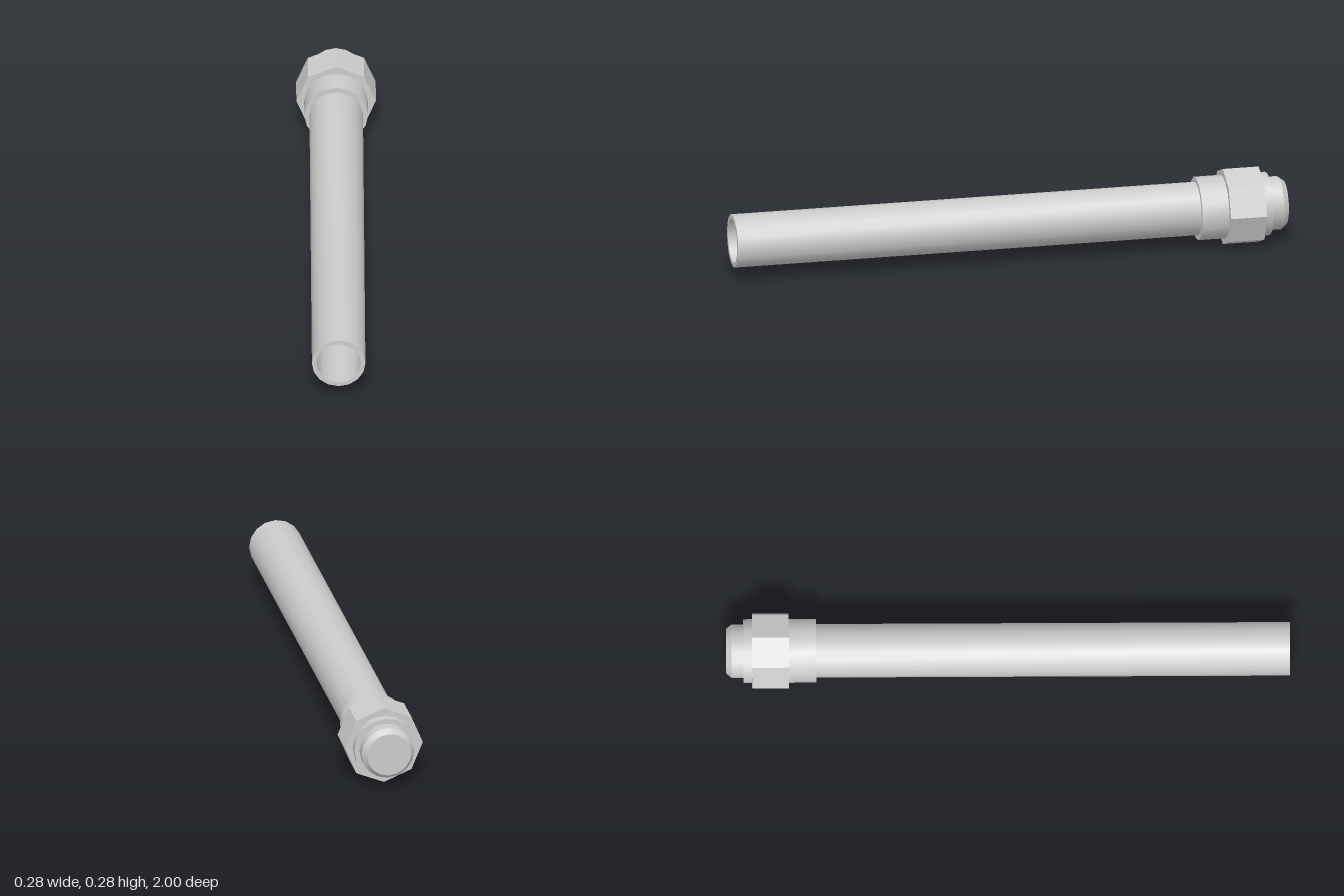
import * as THREE from 'three';
import { toCreasedNormals } from 'three/addons/utils/BufferGeometryUtils.js';

const AXIS_HEIGHT = 0.141;

// Turns a profile of [radius, z] points about the z axis.
function turned(name, profile, sides, material) {
  const points = profile.map(([r, z]) => new THREE.Vector2(r, z));
  const geometry = new THREE.LatheGeometry(points, sides).rotateX(Math.PI / 2);
  const mesh = new THREE.Mesh(toCreasedNormals(geometry, 0.5), material);
  mesh.name = name;
  mesh.position.y = AXIS_HEIGHT;
  return mesh;
}

// Profile of a plain ring whose bore sits just inside the tube wall.
const ring = (radius, back, front) => [
  [0.088, back], [radius, back], [radius, front], [0.088, front],
];

export function createModel() {
  const group = new THREE.Group();
  group.name = 'pipeFitting';
  const material = new THREE.MeshStandardMaterial({ color: 0xcccccc });

  // Hollow tube: open at the front, closed and chamfered at the back
  const tubeProfile = [
    [0, -1], [0.079, -1], [0.095, -0.98], [0.095, 1],
    [0.079, 1], [0.079, -0.97], [0, -0.97],
  ];
  group.add(turned('tube', tubeProfile, 16, material));

  // Round collar around the closed end
  group.add(turned('collar', ring(0.113, -0.938, -0.68), 16, material));

  // Eight-sided nut over the collar
  group.add(turned('nut', ring(0.141, -0.907, -0.777), 8, material));

  return group;
}
